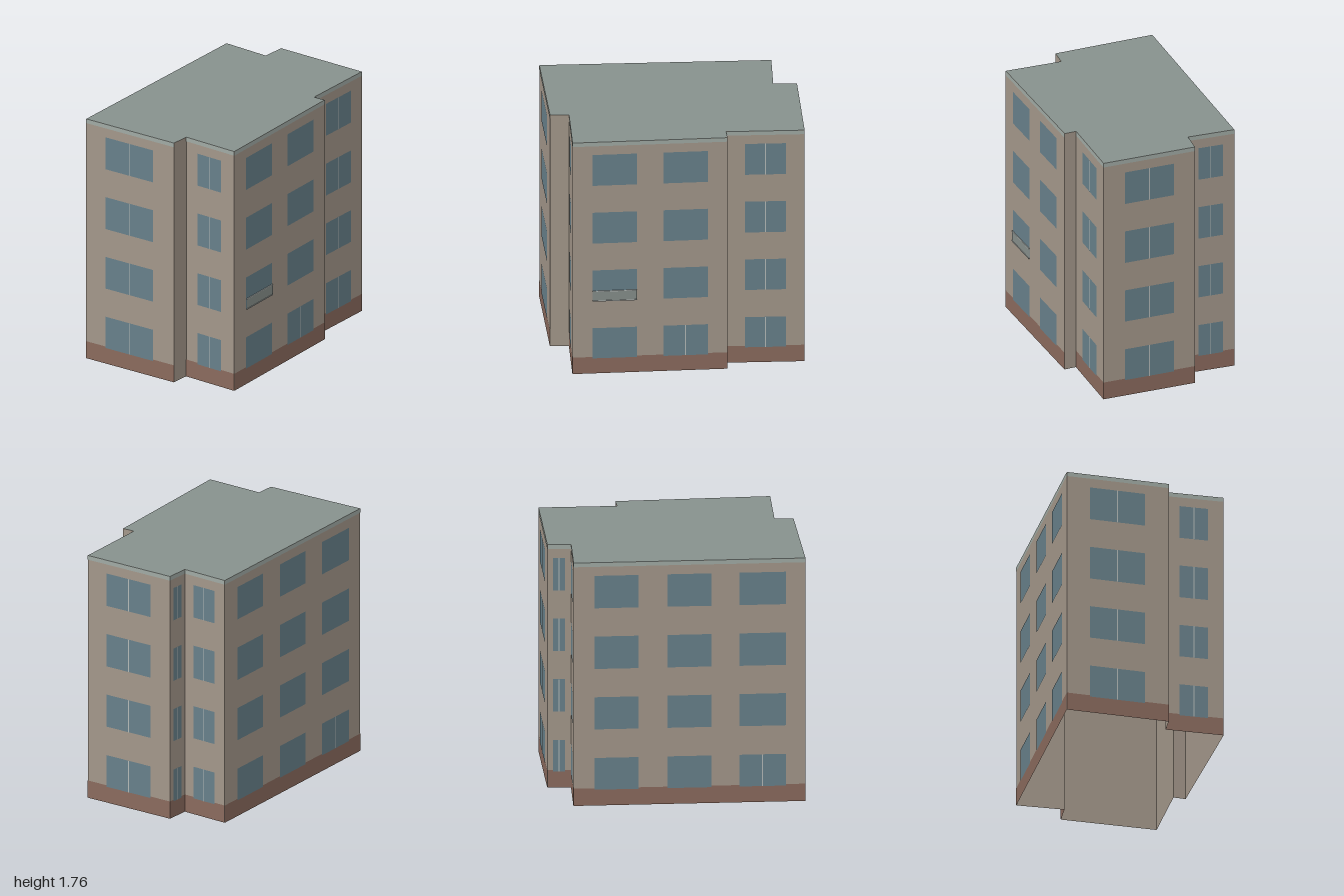
import * as THREE from 'three';

const HEIGHT = 1.76, PLINTH = 0.125, FASCIA = 1.73;
const FLOORS = [[0.115, 0.345], [0.552, 0.785], [0.99, 1.225], [1.43, 1.665]];

// One entry per wall: start corner (x, z), window bays as fractions along it,
// which bays carry a mullion on the ground floor / on the upper floors.
const WALLS = [
  { name: 'backWall', at: [-1, -0.165], bays: [[0.085, 0.285], [0.405, 0.595], [0.72, 0.91]], ground: [0] },
  { name: 'backNotchSide', at: [0.43, -0.79], bays: [[0.25, 0.78]], ground: [0], upper: [0] },
  { name: 'backNotch', at: [0.56, -0.485], bays: [[0.25, 0.77]], ground: [0], upper: [0] },
  { name: 'leftWall', at: [0.71, -0.54], bays: [[0.233, 0.767]], ground: [0], upper: [0] },
  { name: 'frontRecess', at: [0.995, 0.06], bays: [[0.235, 0.76]], ground: [0], upper: [0] },
  { name: 'frontStep', at: [0.51, 0.27], bays: [], plain: true },
  { name: 'frontWall', at: [0.55, 0.345], bays: [[0.128, 0.415], [0.585, 0.872]], ground: [0], balcony: 1 },
  { name: 'rightNotchSide', at: [-0.395, 0.79], bays: [[0.27, 0.76]], ground: [0], upper: [0] },
  { name: 'rightNotch', at: [-0.56, 0.425], bays: [], plain: true },
  { name: 'rightWall', at: [-0.68, 0.47], bays: [[0.235, 0.775]], ground: [0], upper: [0] },
];

const paint = (color, side = THREE.FrontSide) => new THREE.MeshStandardMaterial({ color, side });

export function createModel() {
  const model = new THREE.Group();
  model.name = 'apartmentBuilding';
  const mats = {
    wall: paint(0xa3978a, THREE.DoubleSide),
    plinth: paint(0x8a6a5d),
    fascia: paint(0xa0aaa4),
    roof: paint(0x87918d, THREE.DoubleSide),
    glass: paint(0x67808a),
    mullion: paint(0xb4bab8),
    railing: paint(0x868e8a, THREE.DoubleSide),
  };

  WALLS.forEach((wall, i) => {
    const [x0, z0] = wall.at;
    const [x1, z1] = WALLS[(i + 1) % WALLS.length].at;
    const dx = x1 - x0, dz = z1 - z0, length = Math.hypot(dx, dz);
    const nx = dz / length, nz = -dx / length;
    const side = new THREE.Group();
    side.name = wall.name;
    model.add(side);

    // Upright piece from fraction a to b along the wall, set out from it
    const place = (name, mat, a, b, y0, y1, out, depth = 0) => {
      const w = (b - a) * length, h = y1 - y0, t = (a + b) / 2;
      const geometry = depth ? new THREE.BoxGeometry(w, h, depth) : new THREE.PlaneGeometry(w, h);
      const mesh = new THREE.Mesh(geometry, mat);
      mesh.name = name;
      mesh.position.set(x0 + dx * t + nx * out, (y0 + y1) / 2, z0 + dz * t + nz * out);
      mesh.rotation.y = Math.atan2(nx, nz);
      side.add(mesh);
    };

    place('wall', mats.wall, 0, 1, 0, HEIGHT, 0);
    if (!wall.plain) {
      place('plinth', mats.plinth, 0, 1, 0, PLINTH, 0.0015);
      place('fascia', mats.fascia, 0, 1, FASCIA, HEIGHT, 0.0015);
    }

    // Windows
    FLOORS.forEach(([y0, y1], floor) => wall.bays.forEach(([a, b], bay) => {
      place('window', mats.glass, a, b, y0, y1, 0.003);
      const split = floor === 0 ? wall.ground : wall.upper;
      if (split?.includes(bay)) {
        const mid = (a + b) / 2, half = 0.003 / length;
        place('mullion', mats.mullion, mid - half, mid + half, y0, y1, 0.0045);
      }
    }));

    // Shallow balcony railing across one window
    if (wall.balcony !== undefined) {
      const [a, b] = wall.bays[wall.balcony], y = FLOORS[1][0];
      place('balconyPanel', mats.railing, a, b, y, y + 0.078, 0.009);
      place('balconyBottomRail', mats.mullion, a, b, y, y + 0.006, 0.009, 0.006);
      place('balconyTopRail', mats.mullion, a, b, y + 0.073, y + 0.079, 0.009, 0.006);
    }
  });

  // Flat roof
  const outline = new THREE.Shape(WALLS.map(({ at: [x, z] }) => new THREE.Vector2(x, -z)));
  const roof = new THREE.Mesh(new THREE.ShapeGeometry(outline), mats.roof);
  roof.name = 'roof';
  roof.rotation.x = -Math.PI / 2;
  roof.position.y = HEIGHT;
  model.add(roof);

  return model;
}
